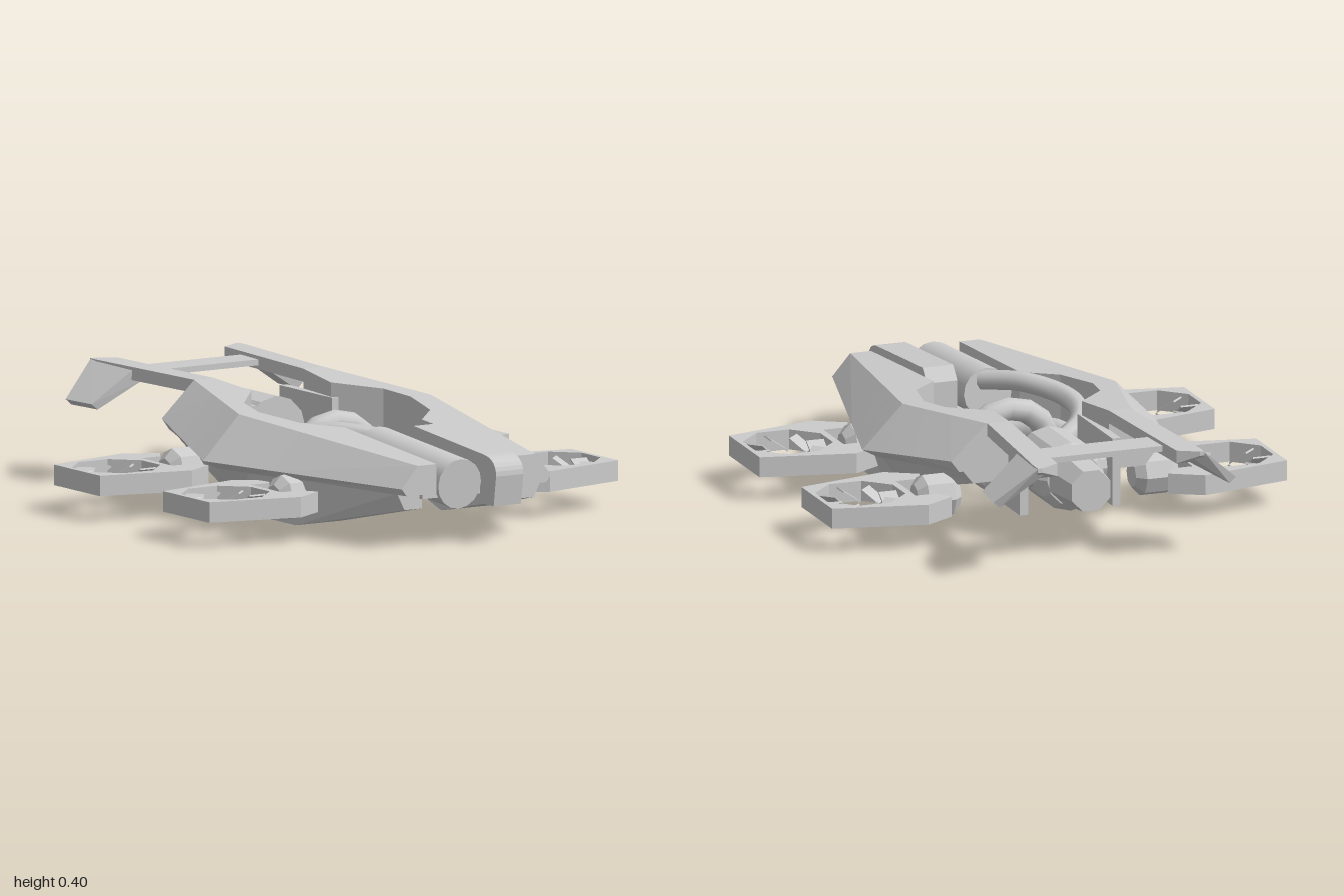
import * as THREE from 'three';
import { ConvexGeometry } from 'three/addons/geometries/ConvexGeometry.js';

const flat = new THREE.MeshStandardMaterial({ color: 0xcccccc, flatShading: true });
const smooth = new THREE.MeshStandardMaterial({ color: 0xcccccc });
const thin = new THREE.MeshStandardMaterial({ color: 0xcccccc, flatShading: true, side: THREE.DoubleSide });

function add(parent, name, geo, mat = flat) {
  const mesh = new THREE.Mesh(geo, mat);
  mesh.name = name;
  parent.add(mesh);
}

// Mirrors a geometry across x = 0 and restores its winding
function mirrored(geo) {
  const g = geo.index ? geo.toNonIndexed() : geo.clone();
  const p = g.attributes.position;
  const src = p.array.slice();
  for (let i = 0; i < p.count; i++) {
    const j = i - (i % 3) + [0, 2, 1][i % 3];
    p.setXYZ(i, -src[3 * j], src[3 * j + 1], src[3 * j + 2]);
  }
  g.computeVertexNormals();
  return g;
}

function addPair(parent, name, geo) {
  add(parent, name + 'Left', geo);
  add(parent, name + 'Right', mirrored(geo));
}

// Closed solid from cross-sections [z, [[x, y], ...]], back to front, corners counter-clockwise
function loft(sections) {
  const n = sections[0][1].length;
  const pos = [], idx = [];
  sections.forEach(([z, pts]) => pts.forEach(([x, y]) => pos.push(x, y, z)));
  for (let s = 0; s < sections.length - 1; s++) {
    for (let i = 0; i < n; i++) {
      const a = s * n + i, b = s * n + ((i + 1) % n);
      idx.push(a, b, b + n, a, b + n, a + n);
    }
  }
  const last = (sections.length - 1) * n;
  for (let i = 1; i < n - 1; i++) {
    idx.push(0, i + 1, i, last, last + i, last + i + 1);
  }
  const g = new THREE.BufferGeometry();
  g.setAttribute('position', new THREE.Float32BufferAttribute(pos, 3));
  g.setIndex(idx);
  const out = g.toNonIndexed();
  out.computeVertexNormals();
  return out;
}

const rect = (x0, x1, y0, y1) => [[x0, y0], [x1, y0], [x1, y1], [x0, y1]];
const vec2 = (list) => list.map((p) => new THREE.Vector2(...p));
const vec3 = (list) => list.map((p) => new THREE.Vector3(...p));

// Interpolates between the tail, widest and nose stations of the hull
function along(z, tail, mid, nose) {
  return z < 0.05
    ? THREE.MathUtils.mapLinear(z, -0.42, 0.05, tail, mid)
    : THREE.MathUtils.mapLinear(z, 0.05, 0.925, mid, nose);
}

// Left-hand fan pod: C-shaped frame, blades reaching in from the rim, and joint to the hull
function fanPod(z) {
  const parts = [];
  const shape = new THREE.Shape(vec2([
    [0.822, -0.143], [0.822, 0.143], [0.5, 0.215], [0.39, 0.15], [0.425, 0.095],
    [0.5, 0.095], [0.5, -0.095], [0.425, -0.095], [0.39, -0.15], [0.5, -0.215],
  ]));
  const hole = [];
  for (let i = 0; i < 8; i++) {
    const a = ((i + 0.5) * Math.PI) / 4;
    hole.push(new THREE.Vector2(0.665 + 0.152 * Math.cos(a), 0.152 * Math.sin(a)));
  }
  shape.holes.push(new THREE.Path(hole));
  const frame = new THREE.ExtrudeGeometry(shape, { depth: 0.07, bevelEnabled: false });
  frame.rotateX(Math.PI / 2).translate(0, 0.165, z);
  parts.push(['fanFrame', frame, flat]);

  for (let i = 0; i < 8; i++) {
    const blade = new THREE.BoxGeometry(0.075, 0.006, 0.075);
    blade.rotateX(0.6).translate(0.115, 0, 0).rotateY((i * Math.PI) / 4).translate(0.665, 0.13, z);
    parts.push(['fanBlade', blade, thin]);
  }
  const joint = new THREE.LatheGeometry(vec2([
    [0, -0.08], [0.045, -0.08], [0.076, -0.05], [0.076, 0.045], [0.045, 0.075], [0, 0.075],
  ]), 8);
  joint.rotateZ(-Math.PI / 2).translate(0.395, 0.13, z);
  parts.push(['fanJoint', joint, flat]);
  return parts;
}

export function createModel() {
  const model = new THREE.Group();
  model.name = 'hoverCraft';

  // Upper armour, with the inner edge cut back around the central ring
  const inner = [[-0.42, 0.18], [-0.22, 0.16], [-0.08, 0.28], [0.05, 0.305], [0.24, 0.26], [0.35, 0.155], [0.925, 0.16]];
  addPair(model, 'upperHull', loft(inner.map(([z, xi]) => {
    const yb = along(z, 0.245, 0.185, 0.19);
    const top = along(z, 0.405, 0.362, 0.29);
    return [z, [
      [xi, yb], [along(z, 0.36, 0.475, 0.28), yb], [along(z, 0.39, 0.53, 0.3), along(z, 0.285, 0.215, 0.215)],
      [along(z, 0.26, 0.385, 0.235), top], [xi, top],
    ]];
  })));

  // Lower keels: inner x, outer x at the bottom and top, bottom y, top y
  const keel = [
    [-0.42, 0.2, 0.31, 0.35, 0.2, 0.25], [-0.1, 0.285, 0.37, 0.43, 0.11, 0.21],
    [0.05, 0.305, 0.385, 0.465, 0.08, 0.19], [0.2, 0.28, 0.385, 0.44, 0.03, 0.19],
    [0.4, 0.2, 0.385, 0.4, 0.03, 0.19], [0.88, 0.19, 0.26, 0.29, 0.135, 0.195],
  ];
  addPair(model, 'lowerKeel', loft(keel.map(([z, xi, xb, xt, yb, yt]) =>
    [z, [[xi, yb], [xb, yb], [xt, yt], [xi, yt]]])));

  // Nose floor between the keels, dropping toward the ring
  add(model, 'noseFloor', loft([
    [0.355, rect(-0.21, 0.21, 0.12, 0.18)], [0.9, rect(-0.2, 0.2, 0.17, 0.195)],
  ]));

  // Central rings
  add(model, 'levelRing', new THREE.TorusGeometry(0.232, 0.049, 10, 14)
    .rotateX(Math.PI / 2).translate(0, 0.17, 0.055), smooth);
  add(model, 'uprightRing', new THREE.TorusGeometry(0.141, 0.044, 10, 14)
    .rotateZ(Math.PI / 14).scale(1, 0.91, 1).translate(0, 0.176, 0.05), smooth);

  // Hose running over the ring and forward to the nose canister
  const hose = new THREE.CatmullRomCurve3(vec3([
    [-0.1, 0.23, -0.16], [-0.2, 0.265, -0.08], [-0.25, 0.285, 0.05],
    [-0.235, 0.3, 0.18], [-0.15, 0.315, 0.31], [-0.05, 0.3, 0.43],
  ]));
  add(model, 'hose', new THREE.TubeGeometry(hose, 24, 0.035, 8), smooth);

  // Nose canister, sloping with the hull
  add(model, 'noseCanister', new THREE.CylinderGeometry(0.086, 0.086, 0.51, 16)
    .rotateX(Math.PI / 2 + 0.085).translate(-0.065, 0.235, 0.667), smooth);

  // Curved nose strip, drawn as a side profile (z, y)
  const strip = new THREE.Shape();
  strip.moveTo(0.45, 0.3);
  strip.lineTo(0.49, 0.345);
  strip.lineTo(0.93, 0.305);
  strip.bezierCurveTo(0.98, 0.298, 1.0, 0.275, 1.0, 0.24);
  strip.lineTo(0.985, 0.137);
  strip.lineTo(0.88, 0.137);
  strip.lineTo(0.88, 0.18);
  strip.lineTo(0.45, 0.2);
  add(model, 'noseStrip', new THREE.ExtrudeGeometry(strip, { depth: 0.11, bevelEnabled: false, curveSegments: 6 })
    .rotateY(-Math.PI / 2).translate(0.14, 0, 0));

  // Rear engine barrel and its octagonal nozzle
  add(model, 'engine', new THREE.LatheGeometry(vec2([
    [0, -0.555], [0.095, -0.555], [0.12, -0.53], [0.12, -0.315], [0, -0.315],
  ]), 12).rotateX(Math.PI / 2).translate(0, 0.222, 0));
  add(model, 'engineNozzle', new THREE.CylinderGeometry(0.095, 0.076, 0.18, 8)
    .rotateY(Math.PI / 8).rotateX(Math.PI / 2).translate(0, 0.222, -0.63));
  addPair(model, 'engineMount', new THREE.CylinderGeometry(0.05, 0.05, 0.07, 10)
    .rotateZ(Math.PI / 2).translate(0.135, 0.222, -0.43));
  addPair(model, 'engineBracket', new THREE.BoxGeometry(0.03, 0.235, 0.325).translate(0.167, 0.22, -0.3625));

  // Tail booms, crossbar and drooping fins
  addPair(model, 'tailBoom', loft([
    [-1, rect(0.285, 0.3, 0.39, 0.405)], [-0.96, rect(0.215, 0.3, 0.36, 0.405)],
    [-0.42, rect(0.18, 0.258, 0.36, 0.405)],
  ]));
  add(model, 'tailCrossbar', new THREE.BoxGeometry(0.43, 0.02, 0.12).translate(0, 0.383, -0.79));
  addPair(model, 'tailFin', new ConvexGeometry(vec3([
    [0.297, 0.405, -1], [0.27, 0.405, -0.76], [0.425, 0.285, -0.8], [0.438, 0.285, -0.94],
    [0.27, 0.375, -0.98], [0.24, 0.36, -0.76], [0.4, 0.265, -0.8], [0.415, 0.265, -0.94],
  ])));

  // Four fan pods
  for (const [label, z] of [['front', 0.395], ['rear', -0.28]]) {
    for (const side of ['Left', 'Right']) {
      const pod = new THREE.Group();
      pod.name = label + 'FanPod' + side;
      for (const [name, geo, mat] of fanPod(z)) {
        add(pod, name, side === 'Left' ? geo : mirrored(geo), mat);
      }
      model.add(pod);
    }
  }
  return model;
}
